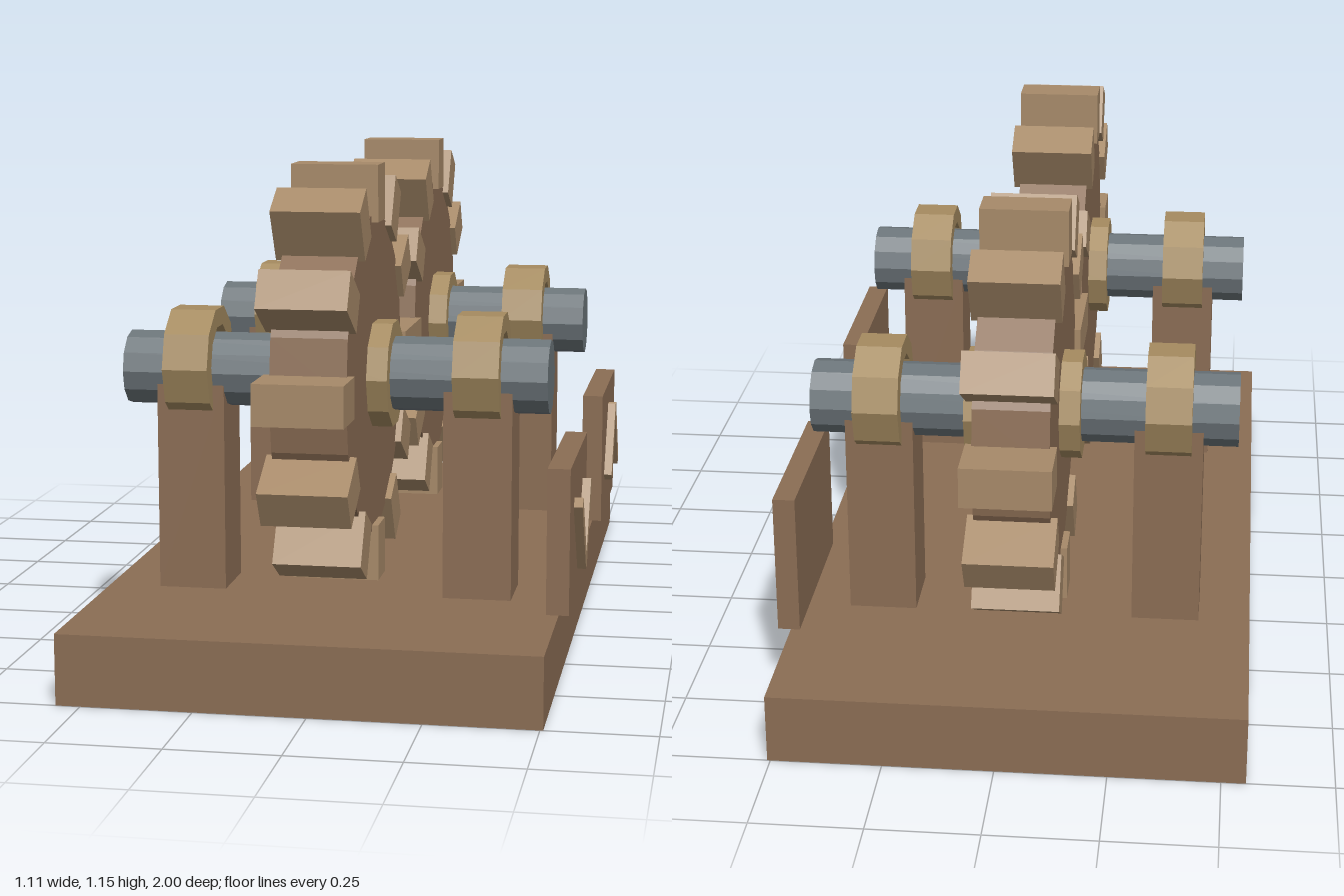
import * as THREE from 'three';

const CX = -0.024;        // centre line of the mechanism
const AXLE_Y = 0.667;
const mat = (color) => new THREE.MeshStandardMaterial({ color, flatShading: true });

export function createModel() {
  const model = new THREE.Group();
  const wood = mat(0x8b6d54), paleWood = mat(0xa78a69), brass = mat(0xa58b60), steel = mat(0x6c757a);

  const add = (parent, name, geometry, material, x, y, z) => {
    const mesh = new THREE.Mesh(geometry, material);
    mesh.name = name;
    mesh.position.set(x, y, z);
    parent.add(mesh);
    return mesh;
  };
  const box = (w, h, d) => new THREE.BoxGeometry(w, h, d);
  // cylinder lying along x
  const rod = (r, length, sides) => new THREE.CylinderGeometry(r, r, length, sides).rotateZ(Math.PI / 2);
  // faceted ring lying along x
  const ring = (outer, inner, length, sides) => {
    const h = length / 2;
    const profile = [[inner, -h], [outer, -h], [outer, h], [inner, h], [inner, -h]]
      .map(([r, y]) => new THREE.Vector2(r, y));
    return new THREE.LatheGeometry(profile, sides).rotateZ(Math.PI / 2);
  };

  add(model, 'base', box(1.062, 0.16, 2), wood, CX, 0.08, 0);

  for (const side of [1, -1]) {
    const unit = new THREE.Group();
    unit.name = side > 0 ? 'frontGearUnit' : 'backGearUnit';
    unit.position.set(CX, 0, side * 0.48);
    model.add(unit);

    add(unit, 'axle', rod(0.086, 0.982, 12), steel, 0, AXLE_Y, 0);

    // gear wheel with twelve block teeth
    const gear = new THREE.Group();
    gear.name = 'gear';
    gear.position.y = AXLE_Y;
    unit.add(gear);
    add(gear, 'gearDisc', rod(0.37, 0.17, 18), wood, 0, 0, 0);
    add(gear, 'hub', rod(0.125, 0.265, 10), brass, 0, 0, 0);
    for (let i = 0; i < 12; i++) {
      const a = i * Math.PI / 6;
      const tooth = add(gear, 'tooth', box(0.2, 0.13, 0.092), paleWood,
        0, Math.cos(a) * 0.415, Math.sin(a) * 0.415);
      tooth.rotation.x = a;
    }

    // posts carrying the bearing rings
    for (const s of [-1, 1]) {
      add(unit, 'post', box(0.157, 0.48, 0.157), wood, s * 0.333, 0.4, 0);
      add(unit, 'bearing', ring(0.134, 0.09, 0.105, 10), brass, s * 0.333, 0.681, 0);
    }

    // side panel with a raised chevron, pointing down in front and up at the back
    add(unit, 'sidePanel', box(0.051, 0.33, 0.45), wood, 0.5315, 0.335, 0);
    for (const s of [-1, 1]) {
      const bar = add(unit, 'chevronBar', box(0.04, 0.03, 0.21), paleWood,
        0.557, 0.335 - side * 0.016, s * 0.06);
      bar.rotation.x = -side * s * 0.945;
    }
  }
  return model;
}
